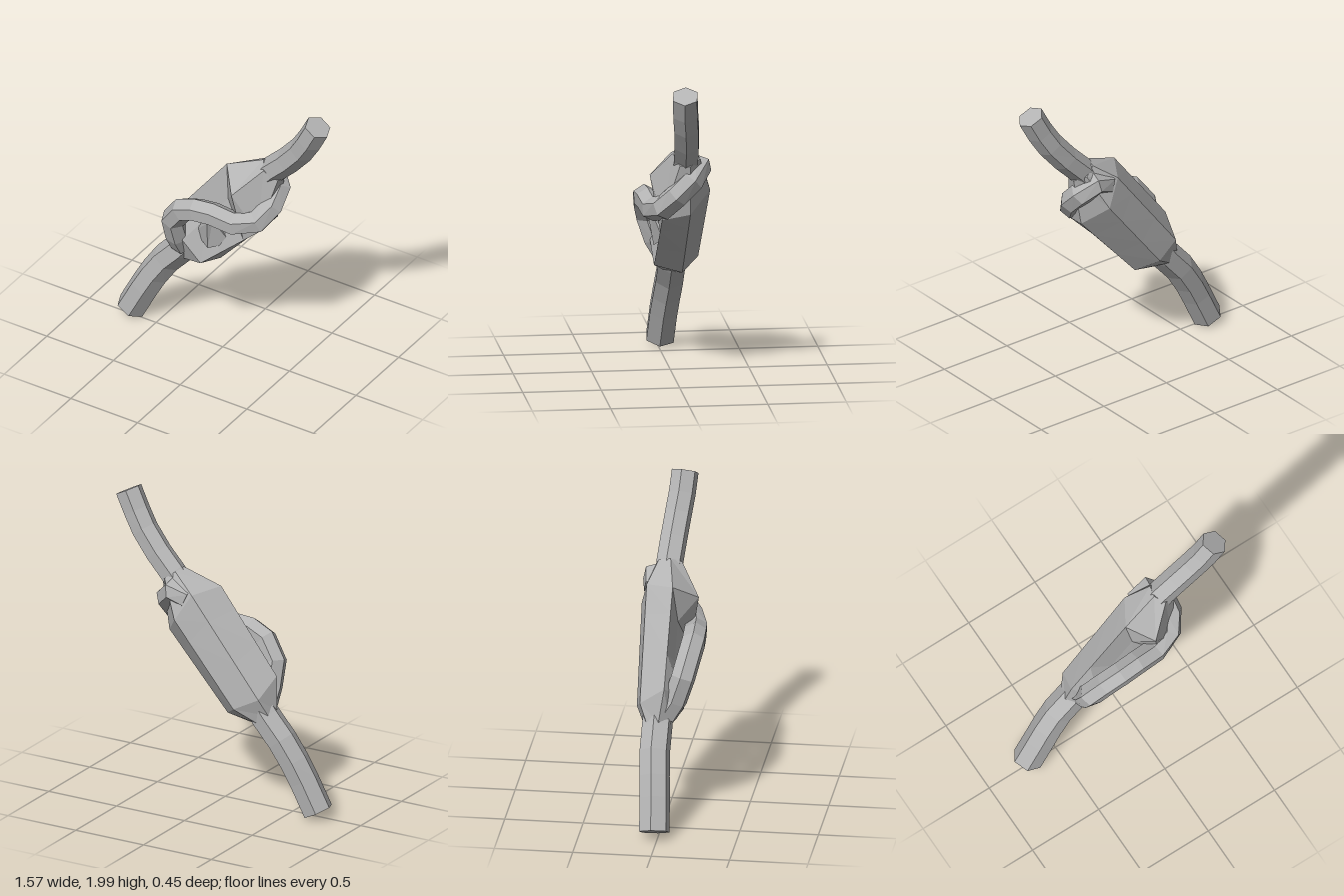
import * as THREE from 'three';

const V = (p) => new THREE.Vector3(...p);

// Skin a closed, capped solid over rings with equal point counts
function loft(rings) {
  const pos = [], n = rings[0].length;
  const tri = (a, b, c) => pos.push(...a.toArray(), ...b.toArray(), ...c.toArray());
  for (let i = 0; i + 1 < rings.length; i++) {
    for (let j = 0; j < n; j++) {
      const k = (j + 1) % n, A = rings[i], B = rings[i + 1];
      tri(A[j], A[k], B[k]);
      tri(A[j], B[k], B[j]);
    }
  }
  const first = rings[0], last = rings[rings.length - 1];
  for (let j = 1; j + 1 < n; j++) {
    tri(first[0], first[j + 1], first[j]);
    tri(last[0], last[j], last[j + 1]);
  }
  // Signed volume tells whether the faces point inward
  let volume = 0;
  for (let i = 0; i < pos.length; i += 9) {
    const [a, b, c] = [0, 3, 6].map((o) => V(pos.slice(i + o, i + o + 3)));
    volume += a.dot(b.cross(c));
  }
  if (volume < 0) {
    for (let i = 0; i < pos.length; i += 9) {
      for (let k = 3; k < 6; k++) [pos[i + k], pos[i + k + 3]] = [pos[i + k + 3], pos[i + k]];
    }
  }
  const g = new THREE.BufferGeometry();
  g.setAttribute('position', new THREE.Float32BufferAttribute(pos, 3));
  g.computeVertexNormals();
  return g;
}

// Six-sided strand through the given centres, without twisting
function strand(centres, radius, turn = 0) {
  const pts = centres.map(V);
  let side = null;
  return loft(pts.map((p, i) => {
    const t = pts[Math.min(i + 1, pts.length - 1)].clone().sub(pts[Math.max(i - 1, 0)]).normalize();
    if (!side) side = new THREE.Vector3().crossVectors(t, new THREE.Vector3(0, 0, 1));
    side.addScaledVector(t, -side.dot(t)).normalize();
    const up = new THREE.Vector3().crossVectors(side, t);
    return Array.from({ length: 6 }, (_, k) => {
      const a = turn + k * Math.PI / 3;
      return p.clone().addScaledVector(side, radius * Math.cos(a)).addScaledVector(up, radius * Math.sin(a));
    });
  }));
}

export function createModel() {
  const group = new THREE.Group();
  const grey = new THREE.MeshStandardMaterial({ color: 0xb4b4b4, flatShading: true });
  grey.name = 'rope grey';
  const add = (name, geometry) => {
    const mesh = new THREE.Mesh(geometry, grey);
    mesh.name = name;
    group.add(mesh);
  };

  // Thick six-sided core, dipped along its front ridge and narrowing to both ropes
  const low = [[-0.38, 0.9, 0], [-0.34, 0.78, -0.16], [-0.18, 0.7, -0.2],
    [-0.07, 0.62, -0.085], [-0.11, 0.665, 0.09], [-0.24, 0.8, 0.1]].map(V);
  const high = [[0.03, 1.43, 0], [0.14, 1.4, -0.18], [0.24, 1.23, -0.225],
    [0.36, 1.1, -0.085], [0.32, 1.06, 0.09], [0.16, 1.32, 0.15]].map(V);
  const between = (t) => low.map((p, i) => {
    const q = p.clone().lerp(high[i], t);
    if (i === 5) q.z = 0.03;
    return q;
  });
  const neck = (ring, centre) => {
    const mid = ring.reduce((s, p) => s.add(p), new THREE.Vector3()).divideScalar(6);
    const axis = V([0.6, 0.8, 0]);
    return ring.map((p) => {
      const d = p.clone().sub(mid);
      d.addScaledVector(axis, -d.dot(axis));
      return d.setLength(0.088).add(V(centre));
    });
  };
  add('knotCore', loft([
    neck(low, [-0.335, 0.63, -0.05]), low, between(0.35), between(0.75), high,
    neck(high, [0.345, 1.475, -0.06]),
  ]));

  // Small fold standing up inside the loop
  add('innerFold', loft([
    [[-0.2, 0.84, 0.02], [-0.05, 0.81, 0.1], [0.1, 0.88, 0.06], [0.08, 1.02, 0]].map(V),
    [[-0.06, 1.04, 0.1], [-0.03, 1.03, 0.14], [0, 1.05, 0.12], [-0.02, 1.07, 0.1]].map(V),
  ]));

  // Loop over the front that wraps round the upper end to the back
  add('wrappingLoop', strand([
    [-0.3, 0.7, 0.0], [-0.3, 0.8, 0.06], [-0.3, 0.95, 0.11], [-0.21, 1.07, 0.14],
    [-0.1, 1.115, 0.15], [0.02, 1.125, 0.145], [0.17, 1.1, 0.13], [0.31, 1.14, 0.08],
    [0.365, 1.23, 0], [0.365, 1.32, -0.09], [0.29, 1.4, -0.15], [0.2, 1.36, -0.13],
  ], 0.08, 0.2));

  // Free rope ends
  add('lowerRope', strand([
    [-0.698, 0.055, -0.02], [-0.6, 0.25, -0.03], [-0.535, 0.37, -0.04],
    [-0.45, 0.5, -0.05], [-0.335, 0.63, -0.05], [-0.22, 0.78, -0.05],
  ], 0.1, 0.12));
  add('upperRope', strand([
    [0.2, 1.3, -0.06], [0.345, 1.475, -0.06], [0.46, 1.59, -0.05],
    [0.57, 1.72, -0.035], [0.64, 1.83, -0.02], [0.706, 1.955, -0.01],
  ], 0.088, 0.12));

  return group;
}
